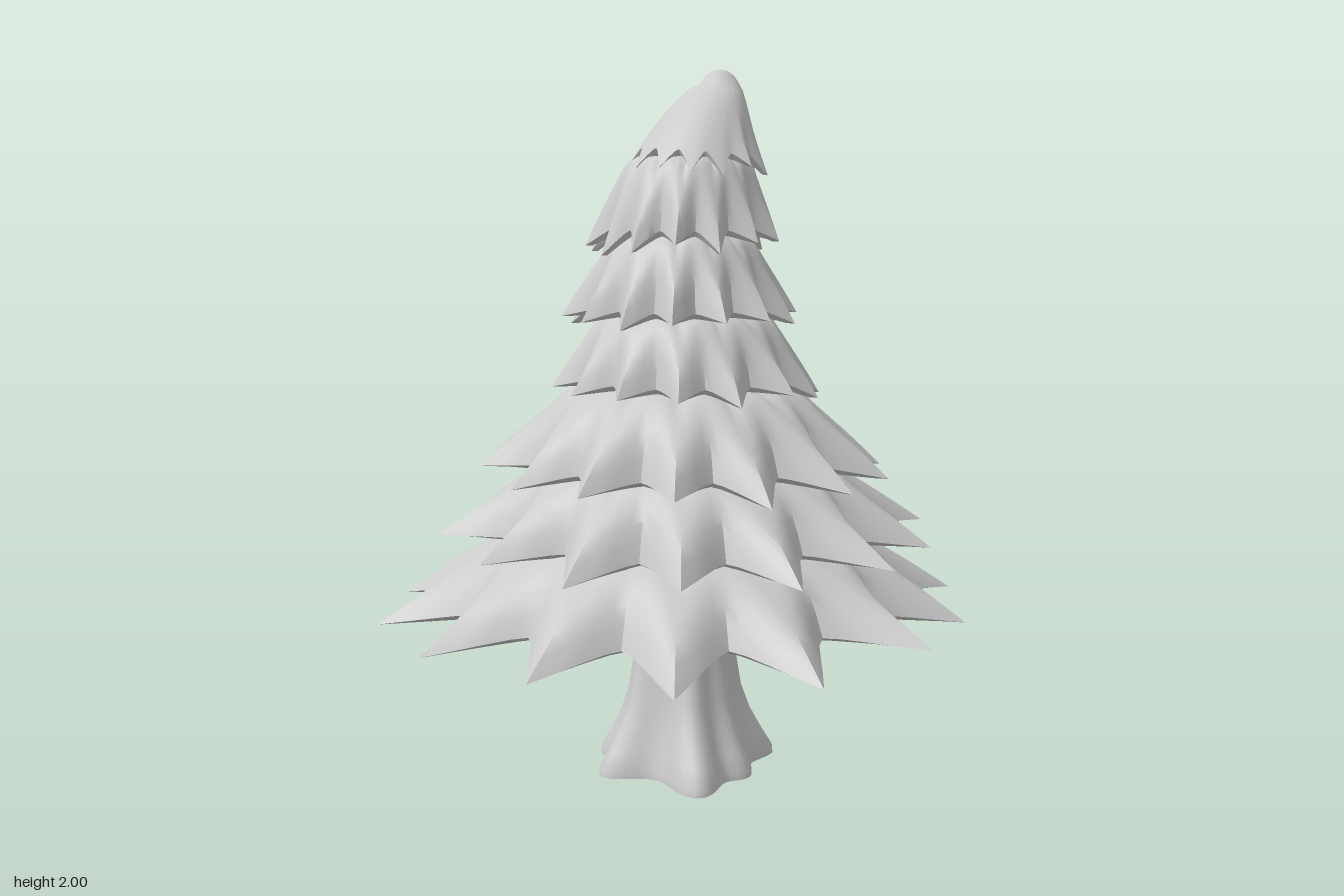
import * as THREE from 'three';
import { toCreasedNormals } from 'three/addons/utils/BufferGeometryUtils.js';

const TIPS = 14, PER_TIP = 8, N = TIPS * PER_TIP;
const lerp = THREE.MathUtils.lerp;
const material = new THREE.MeshStandardMaterial({ color: 0xcccccc, side: THREE.DoubleSide });

// repeatable variation in -1..1
const vary = (i, k) => Math.sin(i * 12.9 + k * 7.3 + Math.sin(i * 4.1 + k));

// skin a stack of closed rings, listed from top to bottom
function loft(rings, crease) {
  const n = rings[0].length, pos = [], index = [];
  rings.forEach(r => r.forEach(p => pos.push(...p)));
  for (let k = 0; k < rings.length - 1; k++) {
    for (let i = 0; i < n; i++) {
      const a = k * n + i, b = k * n + (i + 1) % n;
      index.push(a, b, a + n, b, b + n, a + n);
    }
  }
  const g = new THREE.BufferGeometry();
  g.setAttribute('position', new THREE.Float32BufferAttribute(pos, 3));
  g.setIndex(index);
  return toCreasedNormals(g, crease);
}

// a puffed, drooping skirt of branches with pointed tips
function tier(t, k) {
  const { fall = 1.9, puff = 3, ridge = 1.1, topZ = 0, slant = 0 } = t;
  const rimPoint = i => {
    const lobe = Math.round(i / PER_TIP) % TIPS;
    const u = Math.abs(i / PER_TIP - Math.round(i / PER_TIP)) * 2;
    const w = Math.pow(1 - u, 1.5);
    return {
      a: THREE.MathUtils.degToRad(7.6 + k) + (i / N) * Math.PI * 2, w,
      r: lerp(t.rValley, t.rTip * (1 + 0.02 * vary(lobe, k)), w),
      y: lerp(t.yValley, t.yTip + 0.02 * vary(lobe, k + 9), w),
    };
  };
  const ring = fn => Array.from({ length: N }, (_, i) => fn(rimPoint(i)));
  const place = (a, r, y, s) => {
    const x = lerp(t.topX, t.rimX, s) + r * Math.cos(a);
    return [x, y - slant * s * x, lerp(topZ, 0, s) + r * Math.sin(a)];
  };
  const rings = [];
  // rounded crown on the last tier
  if (t.peak) {
    for (const [f, h] of [[0, 1], [0.4, 0.9], [0.75, 0.55]])
      rings.push(ring(p => place(p.a, t.rTop * f, lerp(t.yTop, t.peak, h), 0)));
  }
  // upper surface: round near the trunk, ridged towards the tips
  for (const s of [0, 0.2, 0.4, 0.55, 0.7, 0.8, 0.9, 1]) {
    const grow = Math.pow(s, ridge);
    rings.push(ring(p => {
      const r = lerp(t.rTop, lerp(t.rValley, p.r, grow), s);
      const y = lerp(t.yValley, p.y, grow);
      return place(p.a, r, lerp(t.yTop, y, Math.pow(s, lerp(puff, fall, p.w))), s);
    }));
  }
  // lip curled under between the tips, then the underside
  rings.push(ring(p => place(p.a, p.r * 0.93, p.y - 0.015 * (1 - p.w), 1)));
  rings.push(ring(p => place(p.a, lerp(t.rValley, p.r, 0.3) * 0.75, t.yValley + 0.01, 1)));
  rings.push(ring(p => place(p.a, t.rTop * 0.3, t.yValley + 0.04, 1)));
  const mesh = new THREE.Mesh(loft(rings, 0.75), material);
  mesh.name = 'branchTier' + (k + 1);
  return mesh;
}

// trunk flaring into uneven roots
function trunk() {
  const roots = [[5, 0.08], [62, 0.05], [103, 0.13], [168, 0.09], [215, 0.06], [262, 0.07], [318, 0.08]];
  const n = 72;
  const ring = (y, r, flare) => Array.from({ length: n }, (_, i) => {
    const deg = (i / n) * 360;
    let out = r;
    for (const [at, len] of roots) {
      const d = Math.abs(((deg - at + 540) % 360) - 180);
      out += flare * len * Math.exp(-((d / 17) ** 2));
    }
    const a = deg * Math.PI / 180;
    return [0.025 + out * Math.cos(a), y, out * Math.sin(a)];
  });
  const rings = [
    ring(0.6, 0.11, 0), ring(0.5, 0.118, 0.1), ring(0.35, 0.134, 0.2), ring(0.22, 0.148, 0.3),
    ring(0.14, 0.162, 0.5), ring(0.07, 0.177, 0.8), ring(0.02, 0.192, 1), ring(0, 0.194, 1), ring(0, 0, 0),
  ];
  const mesh = new THREE.Mesh(loft(rings, 0.9), material);
  mesh.name = 'trunk';
  return mesh;
}

export function createModel() {
  const group = new THREE.Group();
  group.name = 'pineTree';
  group.add(trunk());
  const tiers = [
    { yTip: 0.48, yValley: 0.51, rTip: 0.84, rValley: 0.62, yTop: 0.72, rTop: 0.36, rimX: 0, topX: 0.01 },
    { yTip: 0.695, yValley: 0.71, rTip: 0.70, rValley: 0.51, yTop: 0.92, rTop: 0.30, rimX: 0.03, topX: 0.02 },
    { yTip: 0.88, yValley: 0.91, rTip: 0.585, rValley: 0.43, yTop: 1.13, rTop: 0.22, rimX: 0.02, topX: 0.02 },
    { yTip: 1.10, yValley: 1.14, rTip: 0.39, rValley: 0.30, yTop: 1.33, rTop: 0.19, rimX: 0.03, topX: 0.02 },
    { yTip: 1.30, yValley: 1.34, rTip: 0.335, rValley: 0.25, yTop: 1.55, rTop: 0.15, rimX: 0.015, topX: 0.02 },
    { yTip: 1.51, yValley: 1.56, rTip: 0.275, rValley: 0.215, yTop: 1.76, rTop: 0.14, rimX: 0.025, topX: 0.05 },
    { yTip: 1.73, yValley: 1.775, rTip: 0.20, rValley: 0.165, yTop: 1.96, rTop: 0.055, rimX: 0.065, topX: 0.145,
      topZ: -0.04, peak: 2.0, slant: 0.08, fall: 1.5, puff: 1.5, ridge: 4 },
  ];
  tiers.forEach((t, k) => group.add(tier(t, k)));
  return group;
}
